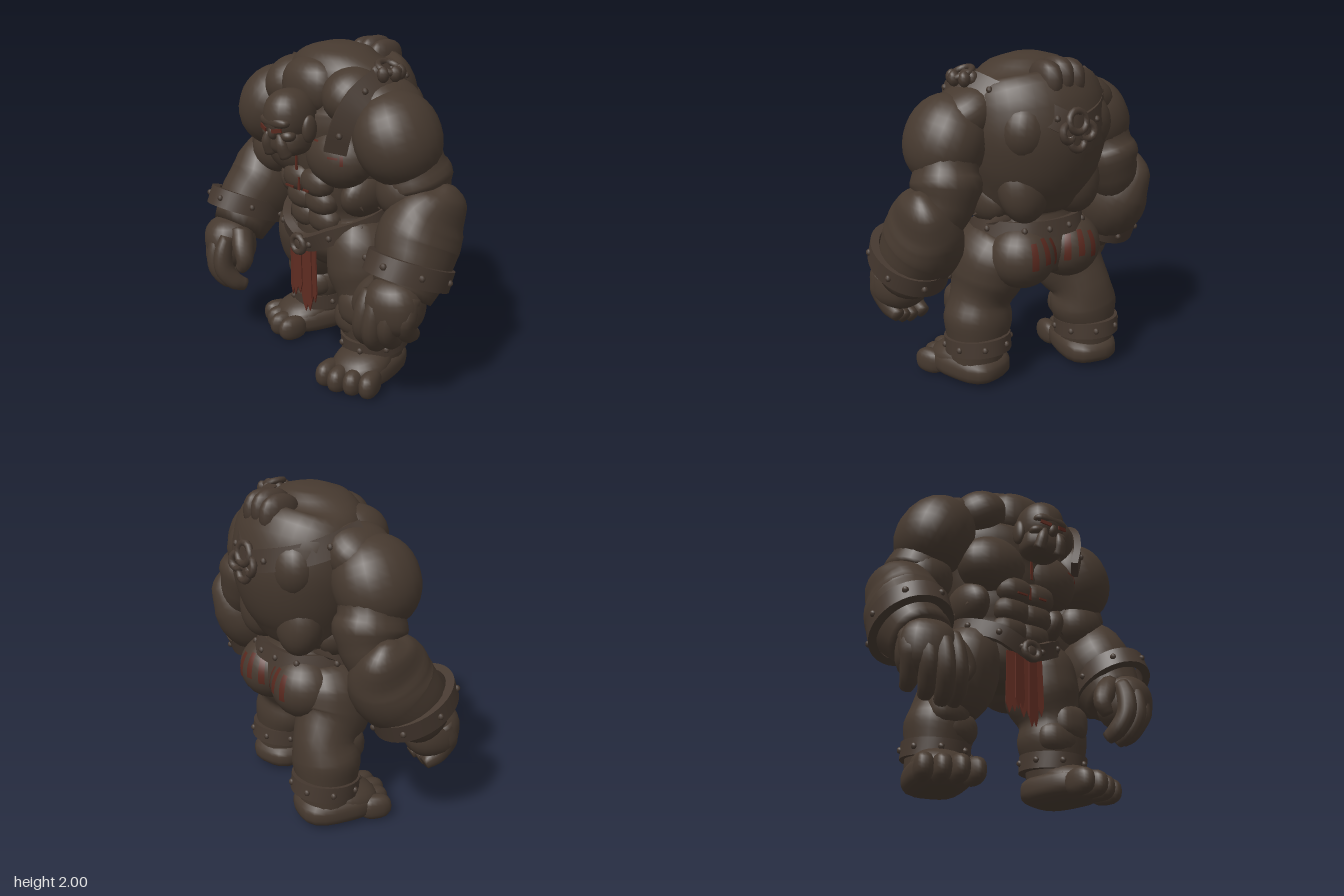
import * as THREE from 'three';
import { mergeVertices, toCreasedNormals } from 'three/addons/utils/BufferGeometryUtils.js';

const V = (x, y, z) => new THREE.Vector3(x, y, z);

export function createModel() {
  const model = new THREE.Group();
  const mat = (name, color, side = THREE.FrontSide) => {
    const m = new THREE.MeshStandardMaterial({ color, side });
    m.name = name;
    return m;
  };
  const hide = mat('dark hide', 0x46392f);
  const leather = mat('dark leather', 0x45382f);
  const cloth = mat('red cloth', 0x5e2b21, THREE.DoubleSide);
  const paint = mat('war paint', 0x58281e, THREE.DoubleSide);

  const add = (name, geo, m) => {
    const mesh = new THREE.Mesh(geo, m);
    mesh.name = name;
    model.add(mesh);
    return mesh;
  };

  // Rounded, optionally boxy lump
  const blob = (name, [x, y, z], [rx, ry, rz], { p = 2, rot = [0, 0, 0], m = hide, seg = 24 } = {}) => {
    let g = new THREE.SphereGeometry(1, seg, Math.round(seg * 0.67));
    const a = g.attributes.position;
    for (let i = 0; i < a.count; i++) {
      const v = V(a.getX(i), a.getY(i), a.getZ(i));
      const k = (Math.abs(v.x) ** p + Math.abs(v.y) ** p + Math.abs(v.z) ** p) ** (-1 / p);
      a.setXYZ(i, v.x * k * rx, v.y * k * ry, v.z * k * rz);
    }
    g.deleteAttribute('uv');
    g.deleteAttribute('normal');
    g = mergeVertices(g, 1e-5);
    g.computeVertexNormals();
    const mesh = add(name, g, m);
    mesh.position.set(x, y, z);
    mesh.rotation.set(...rot);
    return mesh;
  };

  // Skin over a list of rings; open ends are capped
  const skin = (rings, closed) => {
    const n = rings[0].length, pos = [], idx = [];
    rings.forEach(r => r.forEach(v => pos.push(v.x, v.y, v.z)));
    const last = closed ? rings.length : rings.length - 1;
    for (let i = 0; i < last; i++) for (let j = 0; j < n; j++) {
      const k = (i + 1) % rings.length, l = (j + 1) % n;
      const a = i * n + j, b = i * n + l, c = k * n + j, d = k * n + l;
      idx.push(a, b, c, b, d, c);
    }
    if (!closed) [0, rings.length - 1].forEach((r, end) => {
      const mid = rings[r].reduce((s, v) => s.add(v), V(0, 0, 0)).divideScalar(n);
      const c = pos.push(mid.x, mid.y, mid.z) / 3 - 1;
      for (let j = 0; j < n; j++) {
        const a = r * n + j, b = r * n + (j + 1) % n;
        end ? idx.push(c, a, b) : idx.push(c, b, a);
      }
    });
    const g = new THREE.BufferGeometry();
    g.setAttribute('position', new THREE.Float32BufferAttribute(pos, 3));
    g.setIndex(idx);
    g.computeVertexNormals();
    return g;
  };

  // Limb through sections [x, y, z, halfWidth, halfDepth]
  const loft = (name, secs, e = 2.2, n = 24) => {
    const path = new THREE.CatmullRomCurve3(secs.map(s => V(s[0], s[1], s[2])));
    const size = new THREE.CatmullRomCurve3(secs.map(s => V(s[3], s[4], 0)));
    const steps = (secs.length - 1) * 4, rings = [];
    for (let i = 0; i <= steps; i++) {
      const f = i / steps, c = path.getPoint(f), s = size.getPoint(f), t = path.getTangent(f);
      const u = V(1, 0, 0).addScaledVector(t, -t.x).normalize(), v = t.clone().cross(u);
      rings.push(Array.from({ length: n }, (_, j) => {
        const q = j / n * Math.PI * 2, co = Math.cos(q), si = Math.sin(q);
        const k = (Math.abs(co) ** e + Math.abs(si) ** e) ** (-1 / e);
        return c.clone().addScaledVector(u, co * k * s.x).addScaledVector(v, si * k * s.y);
      }));
    }
    return add(name, skin(rings, false), hide);
  };

  // Flat band along points, facing away from a centre, with studs
  const band = (name, pts, w, t, centre, closed, studs) => {
    const path = new THREE.CatmullRomCurve3(pts, closed), rings = [], steps = 40;
    const frame = f => {
      const p = path.getPoint(f), d = path.getTangent(f);
      const o = p.clone().sub(centre);
      o.addScaledVector(d, -o.dot(d)).normalize();
      return [p, o, d.clone().cross(o)];
    };
    for (let i = 0; i < steps + (closed ? 0 : 1); i++) {
      const [p, o, s] = frame(i / steps);
      rings.push([[t, -w], [t, w], [-t, w], [-t, -w]].map(([a, b]) =>
        p.clone().addScaledVector(o, a).addScaledVector(s, b)));
    }
    add(name, toCreasedNormals(skin(rings, closed), 0.7), leather);
    for (let i = 0; i < studs; i++) {
      const [p, o] = frame((i + 0.5) / studs);
      p.addScaledVector(o, t);
      blob(name + 'Stud', [p.x, p.y, p.z], [0.02, 0.02, 0.02], { m: leather, seg: 8 });
    }
  };
  // Elliptical ring of points; slope tips its front upward
  const hoop = (c, a, b, slope) => Array.from({ length: 12 }, (_, i) => {
    const q = -i / 12 * Math.PI * 2;
    return V(c.x + a * Math.cos(q), c.y + b * Math.sin(q) * slope, c.z + b * Math.sin(q));
  });

  // Painted piece of an ellipsoid's surface, turn measured from its front towards +x
  const patch = (name, [x, y, z], r, turn, wide, top, tall) => {
    const g = new THREE.SphereGeometry(1, 8, 8, Math.PI / 2 + turn - wide / 2, wide, top, tall);
    g.scale(r[0] + 0.006, r[1] + 0.006, r[2] + 0.006);
    add(name, g, paint).position.set(x, y, z);
  };

  // Torso
  loft('torso', [[0, 1.995, -0.02, 0.08, 0.07], [0, 1.965, -0.02, 0.2, 0.16], [0, 1.86, -0.02, 0.37, 0.28],
    [0, 1.72, -0.07, 0.44, 0.38], [0, 1.57, -0.09, 0.45, 0.4], [0, 1.4, -0.08, 0.42, 0.38],
    [0, 1.25, -0.05, 0.37, 0.33], [0, 1.1, -0.02, 0.32, 0.27], [0, 0.95, -0.04, 0.32, 0.27],
    [0, 0.82, -0.06, 0.34, 0.28], [0, 0.68, -0.08, 0.22, 0.22]], 2, 36);
  blob('neckHump', [-0.02, 1.76, 0.14], [0.21, 0.17, 0.18], { p: 2.5 });
  const pecR = [0.23, 0.19, 0.175], seatR = [0.21, 0.2, 0.2];
  for (const s of [-1, 1]) {
    blob('trapezius', [s * 0.26, 1.73, 0.1], [0.18, 0.17, 0.2], { rot: [0, 0, -s * 0.5] });
    blob('chestMuscle', [s * 0.19, 1.38, 0.15], pecR);
    blob('shoulderBlade', [s * 0.18, 1.6, -0.27], [0.2, 0.2, 0.16], { rot: [0, s * 0.45, s * 0.2] });
    blob('backMuscle', [s * 0.17, 1.28, -0.22], [0.18, 0.24, 0.15], { rot: [0.2, s * 0.3, s * 0.15] });
    blob('flank', [s * 0.28, 1.14, 0.02], [0.1, 0.14, 0.19], { rot: [0, 0, -s * 0.2] });
    for (let i = 0; i < 3; i++)
      blob('abdominal', [s * 0.08, 1.21 - i * 0.12, [0.225, 0.195, 0.17][i]], [0.12, 0.085, 0.085], { p: 2.4, seg: 16 });
    blob('buttock', [s * 0.17, 0.83, -0.2], seatR);
    // Ragged wrap at the waist
    for (let i = 0; i < 3; i++) {
      const tear = add('waistTatter', new THREE.ConeGeometry(0.05, 0.16, 4), leather);
      tear.position.set(s * 0.31, 1.13 - i * 0.04, 0.13 - i * 0.13);
      tear.rotation.z = s * (0.9 + i * 0.3) + Math.PI;
    }
  }
  blob('spineRidge', [0, 1.5, -0.38], [0.09, 0.26, 0.09]);

  // War paint
  for (const [x, turn, w, top, tall] of [[0.19, 0.5, 0.3, 1.35, 0.07], [0.19, 0.75, 0.1, 1.3, 0.3],
    [0.19, -0.2, 0.2, 0.95, 0.06]])
    patch('chestMark', [x, 1.38, 0.15], pecR, turn, w, top, tall);
  for (const [x, y, w, h, z] of [[-0.012, 1.36, 0.014, 0.16, 0.312], [-0.012, 1.19, 0.016, 0.08, 0.295],
    [-0.08, 1.165, 0.07, 0.012, 0.311], [0.07, 1.17, 0.05, 0.012, 0.311]])
    add('paintLine', new THREE.BoxGeometry(w, h, 0.008), paint).position.set(x, y, z);
  for (const s of [-1, 1]) for (let i = -1; i <= 1; i++)
    patch('seatMark', [s * 0.17, 0.83, -0.2], seatR,
      Math.PI + i * 0.42 + s * 0.2, 0.2, 0.85 + Math.abs(i) * 0.1, 0.8);

  // Head
  blob('skull', [0.01, 1.62, 0.37], [0.135, 0.155, 0.155], { p: 2.3 });
  blob('brow', [0.01, 1.605, 0.475], [0.115, 0.035, 0.05], { p: 2.6 });
  blob('nose', [0.01, 1.545, 0.49], [0.03, 0.045, 0.035]);
  blob('jaw', [0.01, 1.485, 0.38], [0.13, 0.09, 0.11], { p: 2.8 });
  for (const s of [-1, 1]) {
    const eye = add('eye', new THREE.BoxGeometry(0.07, 0.022, 0.008), paint);
    eye.position.set(0.01 + s * 0.06, 1.564, 0.515);
    eye.rotation.set(0, s * 0.25, s * 0.2);
    blob('cheek', [0.01 + s * 0.08, 1.53, 0.45], [0.05, 0.035, 0.045]);
    blob('ear', [0.01 + s * 0.135, 1.56, 0.34], [0.03, 0.08, 0.05]);
    loft('tusk', [[0.01 + s * 0.05, 1.54, 0.49, 0.014, 0.014], [0.01 + s * 0.065, 1.48, 0.485, 0.035, 0.035],
      [0.01 + s * 0.07, 1.41, 0.455, 0.04, 0.04]], 2, 10);
  }

  // Arms
  for (const s of [-1, 1]) {
    const dz = s < 0 ? 0.065 : -0.01, dy = s < 0 ? -0.04 : 0.01, dx = s < 0 ? 0.03 : 0;
    blob('shoulder', [s * 0.535, 1.535, 0.03], [0.23, 0.27, 0.26], { p: 2.1, rot: [0, 0, s * 0.45] });
    blob('shoulderCap', [s * 0.43, 1.69, -0.01], [0.17, 0.14, 0.2], { p: 2.4, rot: [0, 0, -s * 0.55] });
    loft('upperArm', [[s * 0.53, 1.6, -0.01, 0.17, 0.18], [s * 0.58, 1.38, -0.04, 0.175, 0.19],
      [s * 0.61, 1.24, -0.07, 0.175, 0.19], [s * 0.67, 1.08, -0.06, 0.14, 0.15]]);
    blob('biceps', [s * 0.58, 1.24, 0.04], [0.16, 0.16, 0.13]);
    loft('forearm', [[s * 0.8, 1.29, -0.12, 0.03, 0.04], [s * 0.785, 1.22, -0.1, 0.11, 0.16],
      [s * 0.73, 1.1, -0.04, 0.19, 0.24], [s * 0.71, 0.98, 0.02, 0.22, 0.255],
      [s * 0.73, 0.86, 0.09 + dz / 2, 0.205, 0.23], [s * (0.74 - dx), 0.7, 0.19 + dz, 0.17, 0.17]]);
    const c = V(s * 0.745, 0.84, 0.13 + dz / 3);
    band('bracer', hoop(c, 0.2, 0.235, 0.42), 0.06, 0.025, c, true, 7);
    const hx = x => s * (x - dx);
    blob('palm', [hx(0.755), 0.66 + dy, 0.25 + dz], [0.165, 0.17, 0.165], { p: 2.5, rot: [0.1, s * 0.35, 0] });
    // Knuckles run back towards the outer side of the hand
    for (let i = 0; i < 4; i++) {
      const x = 0.65 + i * 0.076, l = [0, -0.01, 0.02, 0.07][i], z = dz + [0.02, 0.02, -0.02, -0.08][i];
      loft('finger', [[hx(x), 0.74 + dy, 0.32 + z, 0.04, 0.05], [hx(x), 0.64 + dy, 0.36 + z, 0.052, 0.06],
        [hx(x - 0.01), 0.53 + dy + l, 0.365 + z, 0.055, 0.062], [hx(x - 0.04), 0.44 + dy + l, 0.31 + z, 0.052, 0.058],
        [hx(x - 0.06), 0.4 + dy + l, 0.24 + z, 0.037, 0.04]], 2.3, 12);
    }
    loft('thumb', [[hx(0.64), 0.75 + dy, 0.24 + dz, 0.07, 0.08], [hx(0.57), 0.68 + dy, 0.28 + dz, 0.065, 0.07],
      [hx(0.53), 0.6 + dy, 0.3 + dz, 0.052, 0.055], [hx(0.56), 0.53 + dy, 0.31 + dz, 0.035, 0.035]], 2.2, 12);
  }

  // Legs in stride, feet turned out
  for (const s of [-1, 1]) {
    const d = s < 0 ? -0.19 : 0;
    loft('leg', [[s * 0.22, 0.95, -0.03, 0.14, 0.2], [s * 0.26, 0.8, d * 0.2, 0.21, 0.25],
      [s * 0.28, 0.66, 0.02 + d * 0.5, 0.21, 0.24], [s * 0.32, 0.52, 0.03 + d, 0.18, 0.19],
      [s * 0.34, 0.4, 0.025 + d, 0.21, 0.2], [s * 0.36, 0.25, 0.02 + d, 0.175, 0.18], [s * 0.37, 0.1, 0.02 + d, 0.16, 0.17]]);
    blob('knee', [s * 0.36, 0.48, 0.14 + d], [0.125, 0.115, 0.11], { p: 2.8 });
    blob('shin', [s * 0.3, 0.38, 0.12 + d], [0.14, 0.11, 0.11], { p: 2.3 });
    const c = V(s * 0.355, 0.25, 0.01 + d);
    band('ankleCuff', hoop(c, 0.18, 0.19, -0.1), 0.05, 0.022, c, true, 8);
    const turn = 0.25, onFoot = (side, y, fore) => [s * (0.37 + side * Math.cos(turn) + fore * Math.sin(turn)), y,
      0.05 + d + fore * Math.cos(turn) - side * Math.sin(turn)];
    blob('foot', onFoot(0, 0.095, 0.02), [0.185, 0.095, 0.25], { p: 3, rot: [0, s * turn, 0] });
    blob('instep', onFoot(0, 0.12, 0.1), [0.175, 0.11, 0.19], { p: 2.3, rot: [0.25, s * turn, 0] });
    for (let i = 0; i < 4; i++)
      blob('toe', onFoot((i - 1.5) * 0.093, 0.078, 0.27 - Math.abs(i - 1) * 0.02), [0.055, 0.078, 0.1],
        { p: 2.6, rot: [0, s * (turn + (i - 1.5) * 0.1), 0], seg: 16 });
  }

  // Belt and buckle
  band('belt', [V(0, 0.82, 0.27), V(-0.2, 0.9, 0.24), V(-0.34, 0.98, 0.02), V(-0.2, 1.0, -0.27),
    V(0, 1.0, -0.32), V(0.2, 1.0, -0.27), V(0.34, 0.98, 0.02), V(0.2, 0.9, 0.24)], 0.05, 0.025, V(0, 0.92, 0), true, 12);
  const buckle = add('buckle', new THREE.TorusGeometry(0.05, 0.022, 8, 16), leather);
  buckle.position.set(-0.015, 0.81, 0.305);
  blob('buckleBoss', [-0.015, 0.81, 0.3], [0.04, 0.04, 0.02], { m: leather, seg: 12 });

  // Torn loincloth in overlapping strips
  [[-0.125, 0.42], [-0.075, 0.45], [-0.025, 0.41], [0.02, 0.36], [0.065, 0.43]].forEach(([x, y], i) => {
    const sh = new THREE.Shape([[-0.03, 0.8], [-0.035, y + 0.06], [-0.012, y], [0.005, y + 0.05],
      [0.022, y + 0.01], [0.038, y + 0.07], [0.03, 0.8]].map(p => new THREE.Vector2(...p)));
    const strip = add('loinclothStrip', new THREE.ExtrudeGeometry(sh, { depth: 0.008, bevelEnabled: false }), cloth);
    strip.position.set(x, 0, 0.25 + (i % 2) * 0.012);
    strip.rotation.y = i % 2 ? 0.15 : -0.15;
  });

  // Shoulder strap, over the left shoulder and across the back
  band('shoulderStrap', [V(0.33, 1.46, 0.31), V(0.37, 1.6, 0.3), V(0.41, 1.76, 0.22), V(0.42, 1.86, 0.02),
    V(0.33, 1.8, -0.23), V(0.15, 1.7, -0.42), V(0, 1.63, -0.48), V(-0.2, 1.66, -0.42), V(-0.37, 1.72, -0.25),
    V(-0.45, 1.81, 0)], 0.065, 0.022, V(0, 1.6, 0), false, 6);
  for (let i = 0; i < 6; i++) {
    const q = i / 6 * Math.PI * 2;
    blob('claspPetal', [0.43 + 0.055 * Math.cos(q), 1.88, 0.01 + 0.075 * Math.sin(q)], [0.035, 0.045, 0.035], { m: leather, seg: 10 });
  }
  const clasp = add('claspRing', new THREE.TorusGeometry(0.06, 0.02, 8, 18), leather);
  clasp.position.set(0.43, 1.91, 0.01);
  clasp.rotation.set(Math.PI / 2, -0.4, 0);

  // Bedroll and knotted ornament on the back
  for (let i = -1; i <= 1; i++)
    blob('bedroll', [i * 0.08, 1.885 - Math.abs(i) * 0.015, -0.3], [0.065, 0.115, 0.125], { p: 2.5, m: leather, seg: 16 });
  for (const [x, y, r] of [[0, 1.66, 0.06], [-0.07, 1.6, 0.045], [0.07, 1.6, 0.045], [0, 1.55, 0.05]]) {
    const knot = add('backKnot', new THREE.TorusGeometry(r, 0.022, 8, 14), leather);
    knot.position.set(x, y, -0.49);
    knot.rotation.set(0.2, x * 4, 0);
  }
  return model;
}
